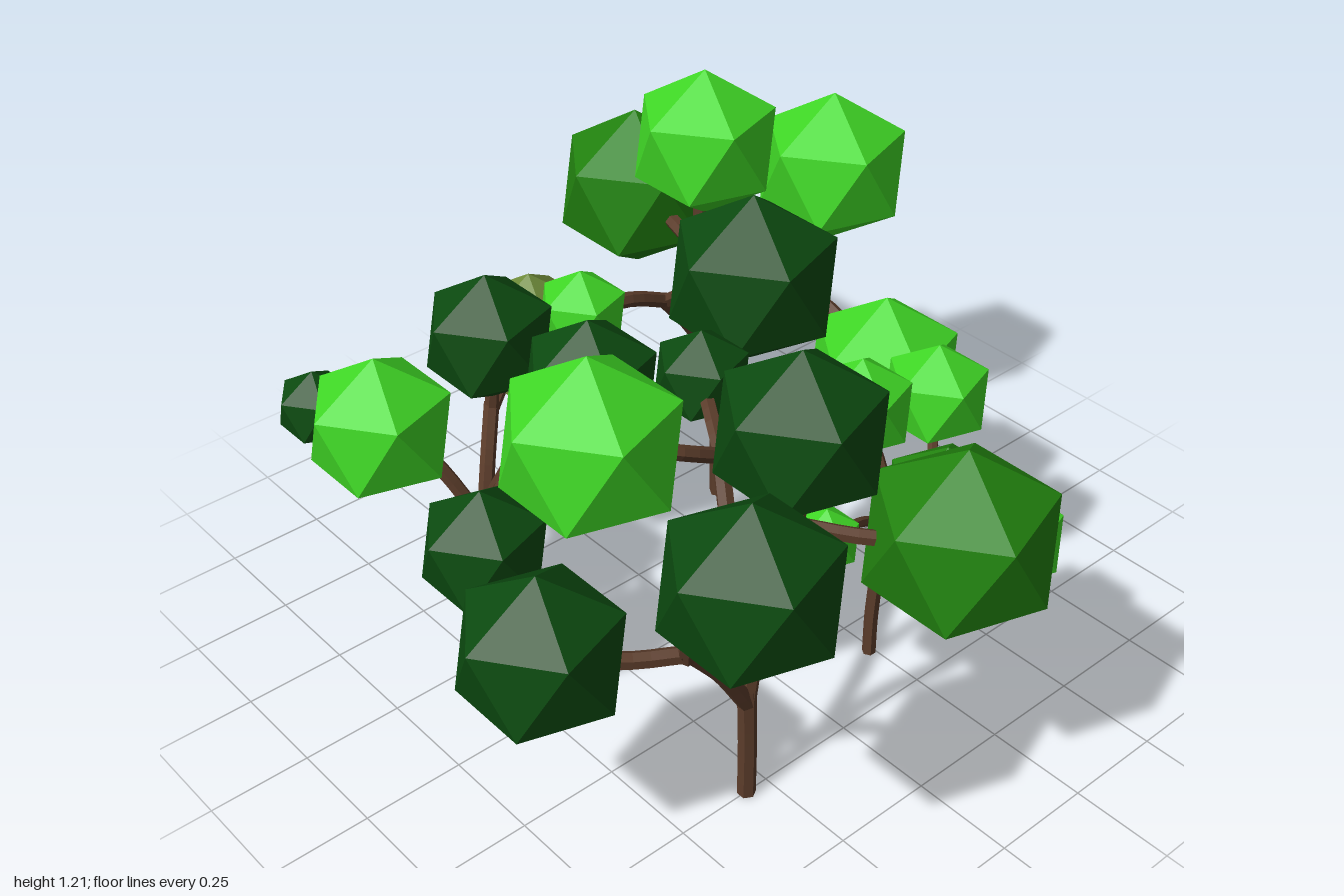
import * as THREE from 'three';

const mat = (name, color) => {
  const m = new THREE.MeshStandardMaterial({ color });
  m.name = name;
  return m;
};

export function createModel() {
  const bark = mat('bark brown', 0x5c3d2b);
  const light = mat('light leaf green', 0x40d926);
  const mid = mat('mid leaf green', 0x22830f);
  const dark = mat('dark leaf green', 0x0c4a10);
  const olive = mat('olive leaf green', 0x6f8c3a);

  // Foliage ball: icosahedron standing on a corner
  const ball = new THREE.IcosahedronGeometry(1, 0);
  ball.rotateZ(Math.atan(2 / (1 + Math.sqrt(5))));

  // Six-sided faceted limb through a few points
  function limb(name, radius, points) {
    const curve = new THREE.CatmullRomCurve3(points.map(p => new THREE.Vector3(...p)), false, 'centripetal');
    const geo = new THREE.TubeGeometry(curve, (points.length - 1) * 4, radius, 6, false).toNonIndexed();
    geo.computeVertexNormals();
    const mesh = new THREE.Mesh(geo, bark);
    mesh.name = name;
    return mesh;
  }

  // Tree: limbs as [radius, ...points], foliage as [material, x, y, z, radius]
  function tree(name, limbs, leaves) {
    const group = new THREE.Group();
    group.name = name;
    limbs.forEach(([r, ...pts], i) => group.add(limb(i ? 'branch' : 'trunk', r, pts)));
    // Closed underside of the trunk
    const foot = new THREE.Mesh(new THREE.CircleGeometry(limbs[0][0], 6).rotateX(Math.PI / 2), bark);
    foot.position.set(...limbs[0][1]);
    foot.name = 'trunkFoot';
    group.add(foot);
    for (const [m, x, y, z, r] of leaves) {
      const leaf = new THREE.Mesh(ball, m);
      leaf.position.set(x, y, z);
      leaf.scale.setScalar(r);
      leaf.name = 'foliage';
      group.add(leaf);
    }
    return group;
  }

  const model = new THREE.Group();
  model.name = 'treeGrove';

  model.add(tree('frontLeftOfViewTree', [
    [0.022, [-0.31, 0, 0.5], [-0.31, 0.17, 0.5], [-0.315, 0.32, 0.5]],
    [0.022, [-0.315, 0.28, 0.5], [-0.4, 0.42, 0.51], [-0.51, 0.56, 0.515]],
    [0.02, [-0.5, 0.54, 0.515], [-0.62, 0.55, 0.45], [-0.76, 0.6, 0.365]],
    [0.02, [-0.5, 0.53, 0.515], [-0.525, 0.65, 0.56], [-0.55, 0.88, 0.75]],
    [0.022, [-0.315, 0.28, 0.5], [-0.29, 0.5, 0.51], [-0.25, 0.75, 0.56], [-0.255, 1.0, 0.575]],
    [0.018, [-0.25, 0.78, 0.57], [-0.15, 0.76, 0.68], [0, 0.74, 0.79]],
    [0.02, [-0.31, 0.31, 0.5], [-0.28, 0.55, 0.42], [-0.2, 0.78, 0.28]],
    [0.018, [-0.2, 0.76, 0.29], [-0.16, 0.81, 0.21], [-0.085, 0.83, 0.09]],
    [0.018, [-0.2, 0.77, 0.28], [-0.3, 0.82, 0.27], [-0.46, 0.88, 0.19]],
  ], [
    [dark, -0.76, 0.6, 0.365, 0.197],
    [dark, -0.55, 0.895, 0.755, 0.2],
    [dark, -0.255, 1.015, 0.575, 0.193],
    [mid, 0, 0.745, 0.793, 0.224],
    [dark, -0.085, 0.83, 0.09, 0.118],
    [light, -0.475, 0.88, 0.185, 0.217],
  ]));

  model.add(tree('smallFrontTree', [
    [0.017, [0.22, 0.02, 0.365], [0.22, 0.13, 0.365], [0.222, 0.24, 0.37]],
    [0.015, [0.22, 0.22, 0.368], [0.28, 0.31, 0.39], [0.35, 0.4, 0.415]],
    [0.013, [0.34, 0.38, 0.41], [0.36, 0.43, 0.5], [0.41, 0.43, 0.61]],
    [0.013, [0.345, 0.39, 0.41], [0.39, 0.5, 0.37], [0.455, 0.65, 0.31]],
    [0.015, [0.222, 0.22, 0.368], [0.205, 0.38, 0.39], [0.15, 0.49, 0.41]],
    [0.012, [0.16, 0.48, 0.405], [0.07, 0.54, 0.44], [-0.07, 0.59, 0.48]],
    [0.013, [0.16, 0.47, 0.405], [0.16, 0.54, 0.49], [0.18, 0.63, 0.59]],
    [0.013, [0.2, 0.4, 0.39], [0.23, 0.54, 0.37], [0.22, 0.7, 0.29]],
  ], [
    [light, 0.41, 0.425, 0.615, 0.126],
    [light, 0.455, 0.65, 0.31, 0.135],
    [light, -0.07, 0.595, 0.48, 0.08],
    [mid, 0.18, 0.635, 0.59, 0.143],
    [light, 0.22, 0.71, 0.29, 0.13],
  ]));

  model.add(tree('backRightOfViewTree', [
    [0.027, [0.395, 0, -0.38], [0.395, 0.2, -0.38], [0.395, 0.4, -0.375]],
    [0.024, [0.395, 0.36, -0.376], [0.45, 0.53, -0.31], [0.53, 0.68, -0.24]],
    [0.021, [0.52, 0.66, -0.25], [0.6, 0.76, -0.27], [0.74, 0.89, -0.34]],
    [0.021, [0.52, 0.66, -0.25], [0.535, 0.65, -0.15], [0.54, 0.56, 0.06]],
    [0.024, [0.395, 0.36, -0.376], [0.4, 0.55, -0.42], [0.42, 0.71, -0.49]],
    [0.021, [0.42, 0.69, -0.48], [0.44, 0.72, -0.6], [0.47, 0.74, -0.8]],
    [0.021, [0.42, 0.68, -0.48], [0.425, 0.82, -0.49], [0.43, 1.01, -0.48]],
    [0.022, [0.395, 0.36, -0.376], [0.31, 0.55, -0.37], [0.18, 0.72, -0.36]],
    [0.019, [0.2, 0.7, -0.36], [0.07, 0.76, -0.35], [-0.07, 0.777, -0.355]],
    [0.019, [0.2, 0.7, -0.36], [0.19, 0.77, -0.27], [0.225, 0.87, -0.1]],
    [0.018, [0.395, 0.37, -0.375], [0.34, 0.48, -0.16], [0.18, 0.52, 0.08]],
  ], [
    [mid, 0.47, 0.743, -0.8, 0.225],
    [light, 0.43, 1.01, -0.48, 0.196],
    [light, 0.74, 0.89, -0.34, 0.206],
    [light, 0.54, 0.56, 0.06, 0.203],
    [dark, 0.225, 0.88, -0.08, 0.22],
    [dark, 0.175, 0.525, 0.09, 0.155],
    [light, -0.07, 0.777, -0.355, 0.116],
  ]));

  model.add(tree('backLeftOfViewTree', [
    [0.02, [-0.37, 0.005, -0.38], [-0.37, 0.18, -0.38], [-0.375, 0.32, -0.38]],
    [0.02, [-0.375, 0.29, -0.38], [-0.39, 0.42, -0.31], [-0.395, 0.54, -0.235]],
    [0.017, [-0.395, 0.52, -0.24], [-0.47, 0.54, -0.17], [-0.58, 0.5, -0.08]],
    [0.017, [-0.395, 0.52, -0.24], [-0.33, 0.61, -0.2], [-0.22, 0.74, -0.14]],
    [0.019, [-0.375, 0.29, -0.38], [-0.44, 0.45, -0.46], [-0.52, 0.58, -0.54]],
    [0.016, [-0.51, 0.56, -0.53], [-0.56, 0.6, -0.6], [-0.63, 0.6, -0.67]],
    [0.016, [-0.51, 0.56, -0.53], [-0.54, 0.64, -0.46], [-0.655, 0.72, -0.34]],
    [0.019, [-0.375, 0.29, -0.38], [-0.33, 0.45, -0.41], [-0.28, 0.57, -0.45]],
    [0.017, [-0.285, 0.55, -0.445], [-0.2, 0.58, -0.5], [-0.065, 0.6, -0.57]],
    [0.017, [-0.285, 0.55, -0.445], [-0.28, 0.65, -0.44], [-0.295, 0.77, -0.42]],
  ], [
    [dark, -0.58, 0.5, -0.08, 0.16],
    [dark, -0.22, 0.75, -0.14, 0.172],
    [dark, -0.63, 0.6, -0.67, 0.1],
    [light, -0.655, 0.73, -0.34, 0.18],
    [olive, -0.065, 0.605, -0.57, 0.182],
    [dark, -0.295, 0.775, -0.42, 0.167],
  ]));

  return model;
}
